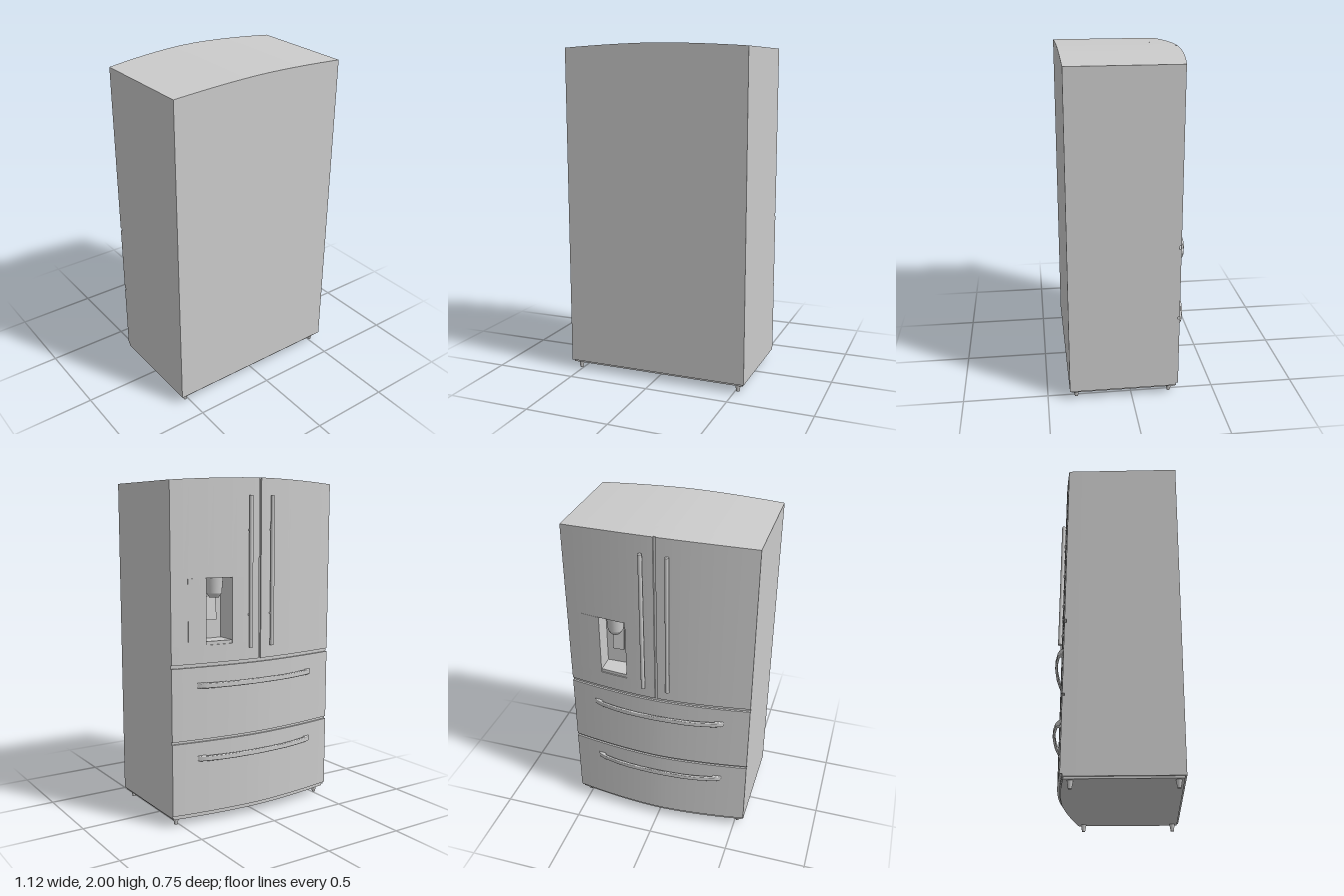
import * as THREE from 'three';
import { toCreasedNormals } from 'three/addons/utils/BufferGeometryUtils.js';

const HALF = 0.56, BACK = 0.37, SPLIT = -0.2;
const bulge = (x) => 1 - Math.pow(Math.abs(x) / HALF, 1.7);
const frontZ = (x) => -0.28 - 0.058 * bulge(x);
const topY = (x) => 1.977 + 0.023 * bulge(x);
const material = new THREE.MeshStandardMaterial({ color: 0xcccccc });

export function createModel() {
  const model = new THREE.Group();

  function add(name, geometry, x = 0, y = 0, z = 0, parent = model) {
    const mesh = new THREE.Mesh(geometry, material);
    mesh.name = name;
    mesh.position.set(x, y, z);
    parent.add(mesh);
    return mesh;
  }

  function group(name) {
    const g = new THREE.Group();
    g.name = name;
    model.add(g);
    return g;
  }

  // Box whose -z side follows the bowed front; y1 = null follows the domed top
  function slab(name, x0, x1, y0, y1, inset = 0, parent = model, zBack = SPLIT) {
    const n = Math.max(2, Math.round((x1 - x0) * 28));
    const geometry = new THREE.BoxGeometry(x1 - x0, 1, 1, n, 1, 1);
    const p = geometry.attributes.position;
    for (let i = 0; i < p.count; i++) {
      const x = p.getX(i) + (x0 + x1) / 2;
      const y = p.getY(i) < 0 ? y0 : (y1 ?? topY(x));
      p.setXYZ(i, x, y, p.getZ(i) < 0 ? frontZ(x) + inset : zBack);
    }
    geometry.computeVertexNormals();
    return add(name, geometry, 0, 0, 0, parent);
  }

  // Cabinet with domed top
  const cabinet = new THREE.BoxGeometry(2 * HALF, 1, 1, 32, 1, 1);
  const p = cabinet.attributes.position;
  for (let i = 0; i < p.count; i++) {
    const x = p.getX(i);
    p.setXYZ(i, x, p.getY(i) < 0 ? 0.055 : topY(x), p.getZ(i) < 0 ? SPLIT : BACK);
  }
  cabinet.computeVertexNormals();
  add('cabinet', cabinet);
  slab('basePlate', -0.55, 0.55, 0.043, 0.055, 0.018, model, 0.36);

  // Recessed strips behind the gaps between doors
  slab('plinth', -HALF, HALF, 0.055, 0.07, 0.012);
  slab('lowerGap', -HALF, HALF, 0.497, 0.512, 0.012);
  slab('upperGap', -HALF, HALF, 0.936, 0.956, 0.012);
  slab('centreGap', -0.007, 0.007, 0.956, null, 0.01);

  // Drawers and doors; the left door is framed around the dispenser opening
  slab('lowerDrawer', -HALF, HALF, 0.07, 0.497);
  slab('upperDrawer', -HALF, HALF, 0.512, 0.936);
  slab('rightDoor', -HALF, -0.007, 0.956, null);
  const leftDoor = group('leftDoor');
  slab('doorTop', 0.007, HALF, 1.44, null, 0, leftDoor);
  slab('doorBottom', 0.007, HALF, 0.956, 1.06, 0, leftDoor);
  slab('doorInner', 0.007, 0.185, 1.06, 1.44, 0, leftDoor);
  slab('doorOuter', 0.35, HALF, 1.06, 1.44, 0, leftDoor);

  // Dispenser: control panel, nozzle, paddle and drip tray
  const dispenser = group('dispenser');
  slab('controlPanel', 0.35, 0.46, 1.06, 1.44, -0.002, dispenser);
  slab('dripTray', 0.185, 0.35, 1.06, 1.08, 0.006, dispenser);
  add('nozzle', new THREE.CylinderGeometry(0.052, 0.045, 0.09, 24), 0.268, 1.395, -0.262, dispenser);
  add('spout', new THREE.CylinderGeometry(0.045, 0.028, 0.025, 24), 0.268, 1.3375, -0.262, dispenser);
  const paddle = add('paddle', new THREE.BoxGeometry(0.07, 0.14, 0.012), 0.268, 1.26, -0.22, dispenser);
  paddle.rotation.x = 0.12;

  // Vertical door handles with two posts each
  for (const side of [-1, 1]) {
    const handle = group(side > 0 ? 'leftDoorHandle' : 'rightDoorHandle');
    add('bar', new THREE.CylinderGeometry(0.012, 0.012, 0.87, 16), side * 0.075, 1.465, -0.355, handle);
    for (const y of [1.22, 1.705]) {
      const post = add('post', new THREE.CylinderGeometry(0.008, 0.008, 0.035, 12), side * 0.075, y, -0.34, handle);
      post.rotation.x = Math.PI / 2;
    }
  }

  // Bowed drawer handles: outer edge, then inner edge back again
  const mirror = (pts) => [...pts.map(([x, d]) => [-x, d]), ...pts.slice(0, -1).reverse()]
    .map(([x, d]) => new THREE.Vector2(x, d));
  const outer = mirror([[0.415, 0.296], [0.393, 0.32], [0.355, 0.335], [0.26, 0.356],
    [0.18, 0.367], [0.09, 0.372], [0, 0.375]]);
  const inner = mirror([[0.355, 0.3], [0.355, 0.321], [0.26, 0.341], [0.18, 0.352],
    [0.09, 0.358], [0, 0.36]]);
  const extruded = new THREE.ExtrudeGeometry(new THREE.Shape([...outer, ...inner.reverse()]), {
    depth: 0.02, bevelThickness: 0.006, bevelSize: 0.005, bevelOffset: -0.005, bevelSegments: 3,
  });
  extruded.translate(0, 0, -0.01).rotateX(-Math.PI / 2);
  const handleGeometry = toCreasedNormals(extruded, 0.6);
  add('upperDrawerHandle', handleGeometry, 0, 0.83);
  add('lowerDrawerHandle', handleGeometry, 0, 0.4);

  // Tapered feet
  for (const x of [-0.515, 0.515]) {
    for (const z of [-0.23, 0.33]) {
      add('foot', new THREE.CylinderGeometry(0.017, 0.01, 0.045, 16), x, 0.0225, z);
    }
  }
  return model;
}
